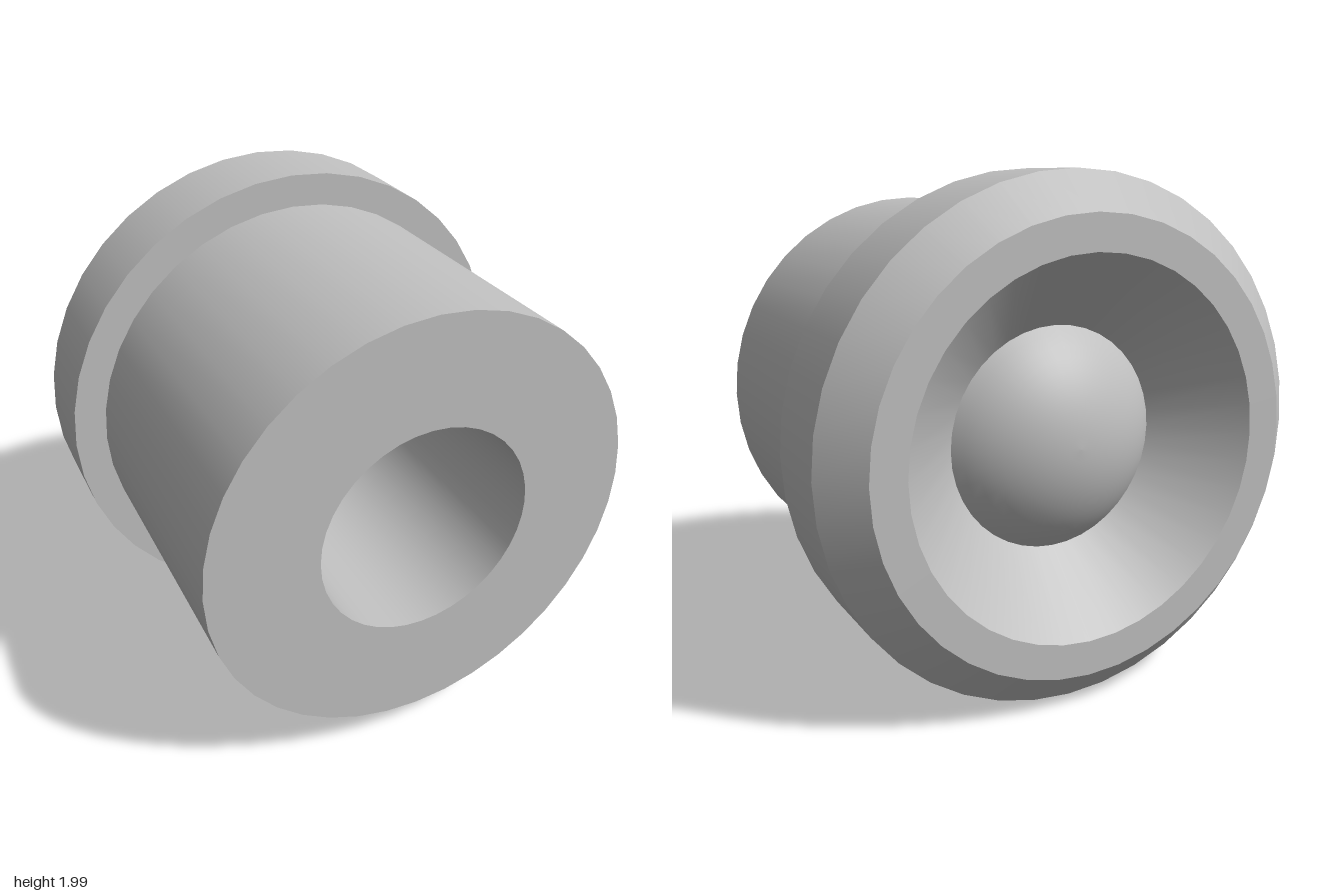
import * as THREE from 'three';

const SEGMENTS = 40;

// One surface of revolution about z; each profile point is [radius, z].
function ring(name, points, material) {
  const profile = points.map(([r, z]) => new THREE.Vector2(r, z));
  const geometry = new THREE.LatheGeometry(profile, SEGMENTS);
  geometry.rotateX(Math.PI / 2);
  const mesh = new THREE.Mesh(geometry, material);
  mesh.name = name;
  return mesh;
}

export function createModel() {
  const steel = new THREE.MeshStandardMaterial({ color: 0xc0c0c0 });
  steel.name = 'grey metal';

  // Shallow spherical dome in the middle of the conical recess
  const baseRadius = 0.43, baseZ = -0.54, slope = 0.86;
  const sphereRadius = baseRadius / Math.sin(slope);
  const dome = [];
  for (let i = 0; i <= 10; i++) {
    const a = (slope * i) / 10;
    dome.push([sphereRadius * Math.sin(a), baseZ - sphereRadius * (Math.cos(a) - Math.cos(slope))]);
  }

  const model = new THREE.Group();
  model.name = 'flangedBushing';
  // Separate surfaces keep the edges between them sharp
  const parts = [
    ['dome', dome],
    ['conicalSeat', [[0.43, -0.54], [0.715, -0.82]]],
    ['backRim', [[0.715, -0.82], [0.85, -0.82]]],
    ['flangeChamfer', [[0.85, -0.82], [0.995, -0.68]]],
    ['flangeSide', [[0.995, -0.68], [0.995, -0.325]]],
    ['flangeShoulder', [[0.995, -0.325], [0.866, -0.325]]],
    ['barrel', [[0.866, -0.325], [0.866, 0.815]]],
    ['frontFace', [[0.866, 0.815], [0.43, 0.815]]],
    ['boreWall', [[0.43, 0.815], [0.43, -0.35]]],
    ['boreFloor', [[0.43, -0.35], [0, -0.35]]],
  ];
  for (const [name, points] of parts) model.add(ring(name, points, steel));

  // The axis is turned very slightly toward +x
  model.rotation.y = 0.0165;
  model.position.set(0.008, 0.996, 0);
  const root = new THREE.Group();
  root.name = 'bushing';
  root.add(model);
  return root;
}
